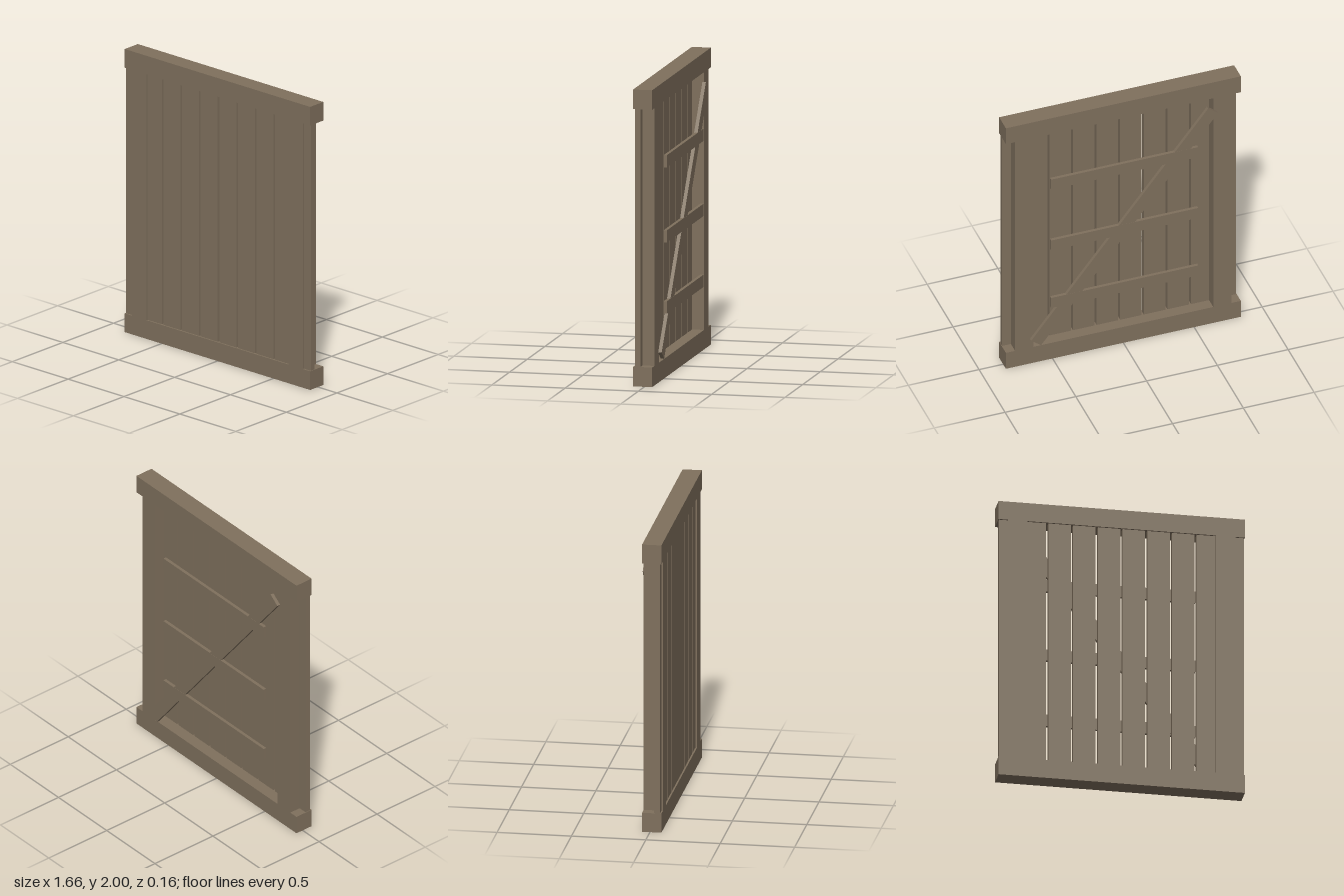
import * as THREE from 'three';

export function createModel() {
  const model = new THREE.Group();
  model.name = 'plankGate';
  const wood = new THREE.MeshStandardMaterial({ color: 0x7f705d });
  wood.name = 'weathered wood';

  // Board given by its centre, size and depth range
  function board(name, x, y, width, height, zBack, zFront) {
    const mesh = new THREE.Mesh(new THREE.BoxGeometry(width, height, zFront - zBack), wood);
    mesh.name = name;
    mesh.position.set(x, y, (zBack + zFront) / 2);
    model.add(mesh);
    return mesh;
  }

  // Outer frame: wide rails above and below, stiles set in from the ends
  const back = -0.053, front = 0.077, rail = 0.132;
  board('bottomRail', 0, rail / 2, 1.66, rail, back, front);
  board('topRail', 0, 2 - rail / 2, 1.66, rail, back, front);
  for (const side of [-1, 1]) {
    board(side > 0 ? 'leftStile' : 'rightStile', side * 0.7, 1, 0.13, 2 - 2 * rail, back, front);
  }

  // Upright planks with narrow gaps; the outermost pass through the stiles
  const pitch = 0.1667;
  for (let i = 0; i < 10; i++) {
    board('plank' + (i + 1), (i - 4.5) * pitch, 1, 0.152, 2 - 2 * rail, 0.028, 0.066);
  }

  // Horizontal battens on the back
  [0.484, 0.962, 1.468].forEach((y, i) => {
    board('batten' + (i + 1), 0, y, 1.04, 0.083, -0.078, -0.056);
  });

  // Diagonal brace across the back
  const brace = board('diagonalBrace', 0, 0.981, 2.035, 0.089, -0.077, back);
  brace.rotation.z = -THREE.MathUtils.degToRad(52.1);

  return model;
}
